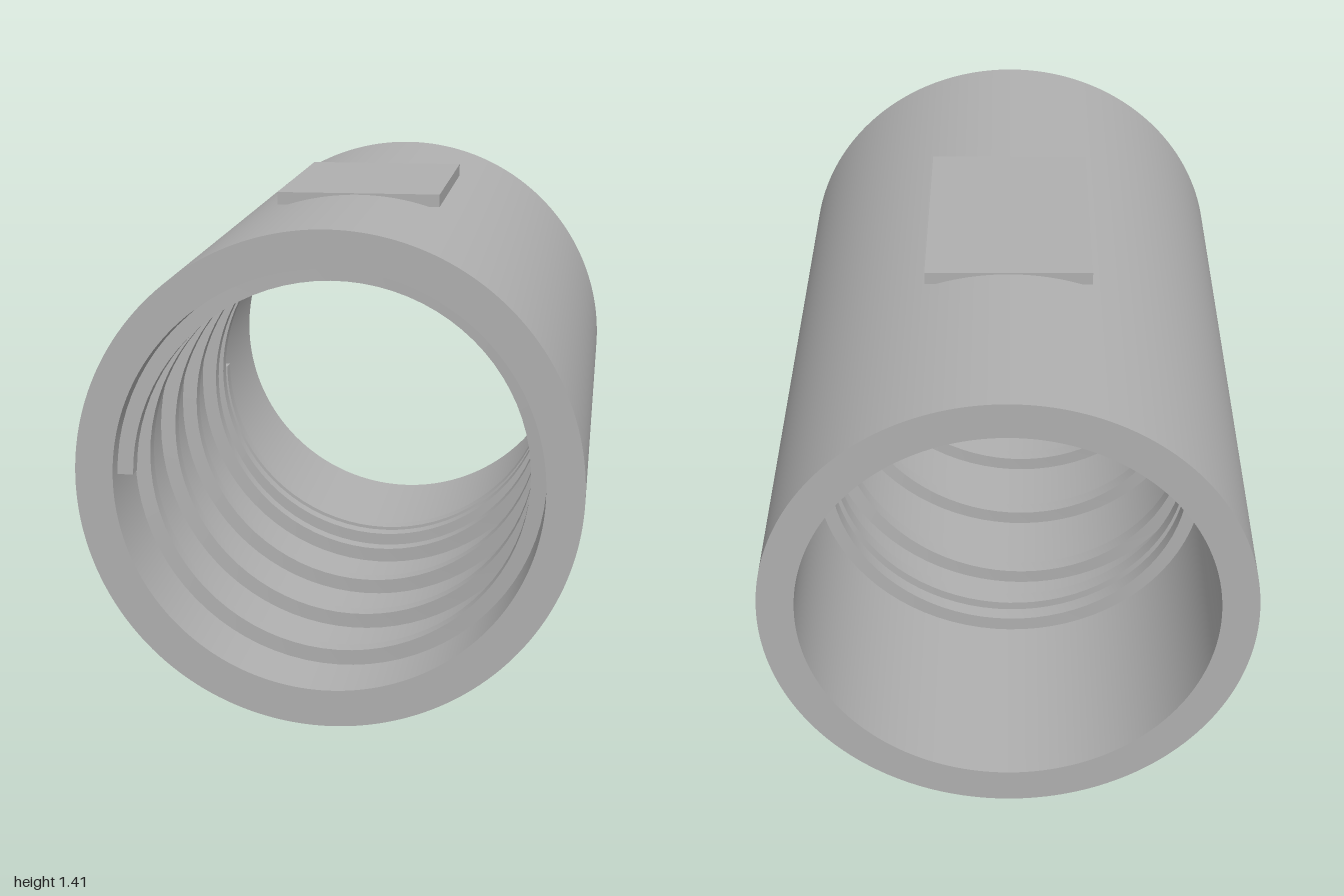
import * as THREE from 'three';
import { toCreasedNormals } from 'three/addons/utils/BufferGeometryUtils.js';

const AXIS_Y = 0.74, OUTER = 0.665, BORE = 0.565;

// Square-section coil with closed end turns; stations give z after each full turn.
function coilGeometry(stations, rIn, rOut, thick, perTurn) {
  const path = new THREE.CatmullRomCurve3(
    stations.map((z, i) => new THREE.Vector3(i, 0, z)), false, 'catmullrom', 0.4);
  const turns = stations.length - 1, n = turns * perTurn;
  const pos = [], index = [];
  for (let i = 0; i <= n; i++) {
    const z = path.getPoint(i / n).z;
    const a = Math.PI - (i / perTurn) * Math.PI * 2;
    for (const [r, dz] of [[rIn, 0], [rOut, 0], [rOut, -thick], [rIn, -thick]])
      pos.push(r * Math.cos(a), r * Math.sin(a), z + dz);
  }
  for (let i = 0; i < n; i++) {
    for (let k = 0; k < 4; k++) {
      const a = i * 4 + k, b = i * 4 + (k + 1) % 4;
      index.push(a, a + 4, b, b, a + 4, b + 4);
    }
  }
  const e = n * 4;
  index.push(0, 1, 2, 0, 2, 3, e, e + 2, e + 1, e, e + 3, e + 2);
  const geo = new THREE.BufferGeometry();
  geo.setAttribute('position', new THREE.Float32BufferAttribute(pos, 3));
  geo.setIndex(index);
  return toCreasedNormals(geo, 0.6);
}

export function createModel() {
  const group = new THREE.Group();
  const grey = new THREE.MeshStandardMaterial({ color: 0xb0b0b0 });
  grey.name = 'grey';
  const coilGrey = grey.clone();
  coilGrey.name = 'coil grey';
  coilGrey.side = THREE.DoubleSide;

  const add = (name, geometry, x, y, z, material = grey) => {
    const mesh = new THREE.Mesh(geometry, material);
    mesh.name = name;
    mesh.position.set(x, y, z);
    group.add(mesh);
  };

  // Hollow sleeve lying along z
  const ring = new THREE.Shape().absarc(0, 0, OUTER, 0, Math.PI * 2, false);
  ring.holes.push(new THREE.Path().absarc(0, 0, BORE, 0, Math.PI * 2, true));
  const sleeve = new THREE.ExtrudeGeometry(ring, { depth: 2, bevelEnabled: false, curveSegments: 96 });
  add('sleeve', toCreasedNormals(sleeve, 0.6), 0, AXIS_Y, -1);

  // Spring inside the bore
  const coil = coilGeometry([0.96, 0.76, 0.44, 0.14, -0.16, -0.28, -0.35], 0.52, 0.562, 0.045, 80);
  add('spring', coil, 0, AXIS_Y, 0, coilGrey);

  // Flat pad on top and locating key underneath
  add('topPad', new THREE.BoxGeometry(0.46, 0.035, 0.71), 0, 1.3915, 0);
  add('bottomKey', new THREE.BoxGeometry(0.095, 0.09, 0.31), 0, 0.045, 0.645);

  return group;
}
